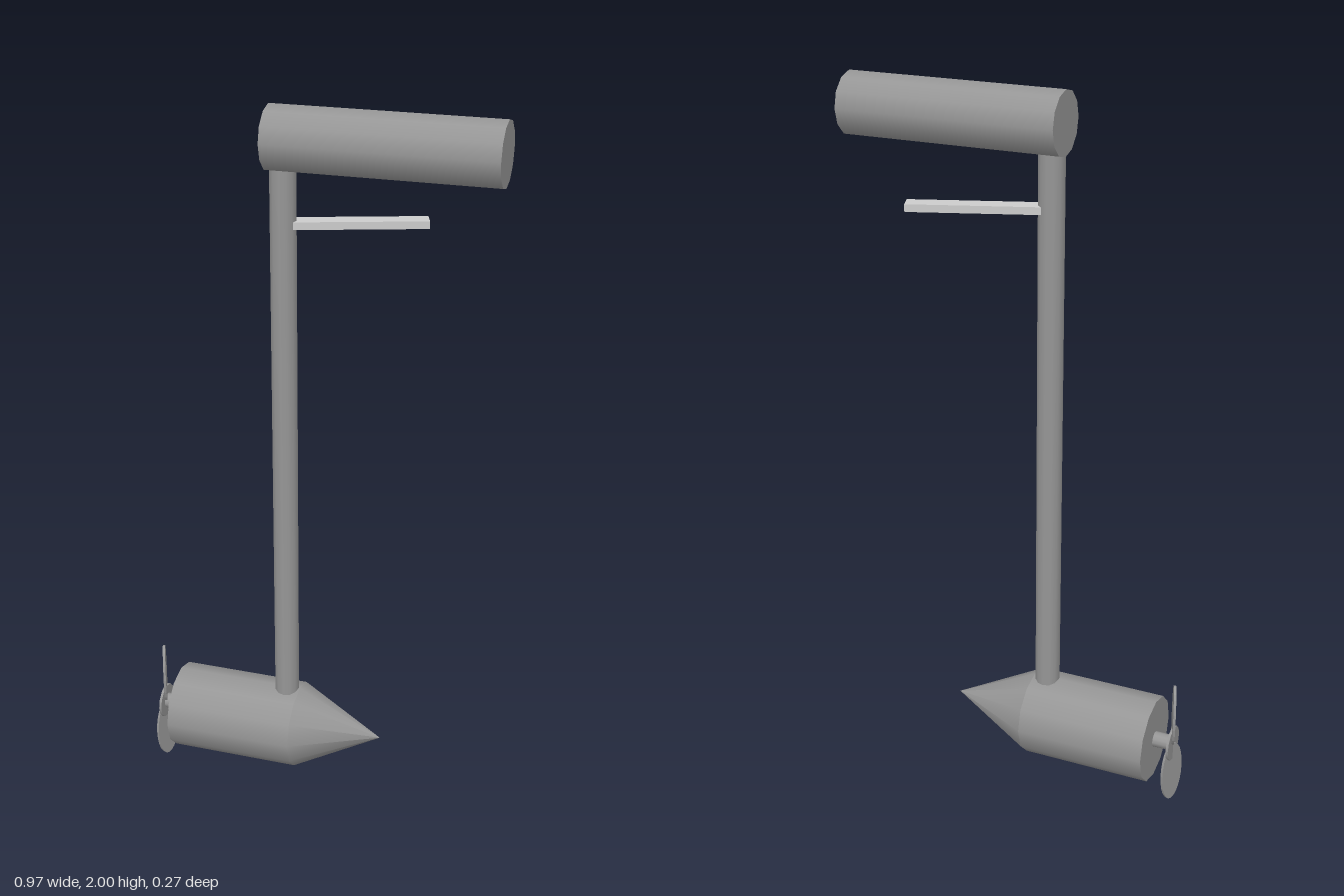
import * as THREE from 'three';

const SIDES = 12;
const Z = 0.01; // depth of the common centre plane

export function createModel() {
  const model = new THREE.Group();
  const darkGrey = new THREE.MeshStandardMaterial({ color: 0x969696 });
  const lightGrey = new THREE.MeshStandardMaterial({ color: 0xd4d4d4 });

  function add(name, geometry, x, y, material = darkGrey) {
    const mesh = new THREE.Mesh(geometry, material);
    mesh.name = name;
    mesh.position.set(x, y, Z);
    model.add(mesh);
    return mesh;
  }

  // Cylinder lying along x from x0 to x1
  function alongX(name, x0, x1, y, radius) {
    const geometry = new THREE.CylinderGeometry(radius, radius, x1 - x0, SIDES);
    geometry.rotateZ(Math.PI / 2);
    return add(name, geometry, (x0 + x1) / 2, y);
  }

  // Control head and upright shaft
  alongX('controlHead', -0.118, 0.484, 1.916, 0.084);
  add('shaft', new THREE.CylinderGeometry(0.035, 0.035, 1.56, SIDES), -0.082, 1.07);

  // Flat tiller bar, swung towards the back
  const tillerGeometry = new THREE.BoxGeometry(0.371, 0.02, 0.048);
  tillerGeometry.translate(0.1855, 0, 0);
  add('tiller', tillerGeometry, -0.082, 1.697, lightGrey).rotation.y = 0.33;

  // Submerged motor housing with pointed nose
  const axisY = 0.188;
  alongX('motorHousing', -0.413, -0.043, axisY, 0.123);
  const nose = new THREE.ConeGeometry(0.123, 0.242, SIDES);
  nose.rotateZ(-Math.PI / 2);
  add('noseCone', nose, 0.078, axisY);

  // Propeller axle and thin hub
  alongX('propellerAxle', -0.464, -0.413, axisY, 0.022);
  alongX('propellerHub', -0.469, -0.462, axisY, 0.05);

  // Two oval blades with opposite pitch
  for (const side of [1, -1]) {
    const oval = new THREE.Shape();
    oval.absellipse(0, 0, 0.043, 0.094, 0, Math.PI * 2);
    const blade = new THREE.ExtrudeGeometry(oval, { depth: 0.007, bevelEnabled: false, curveSegments: 12 });
    blade.translate(0, 0, -0.0035);
    const mesh = add(side > 0 ? 'upperBlade' : 'lowerBlade', blade, -0.466, axisY + side * 0.094);
    mesh.rotation.y = Math.PI / 2 + side * 0.36;
  }

  return model;
}
